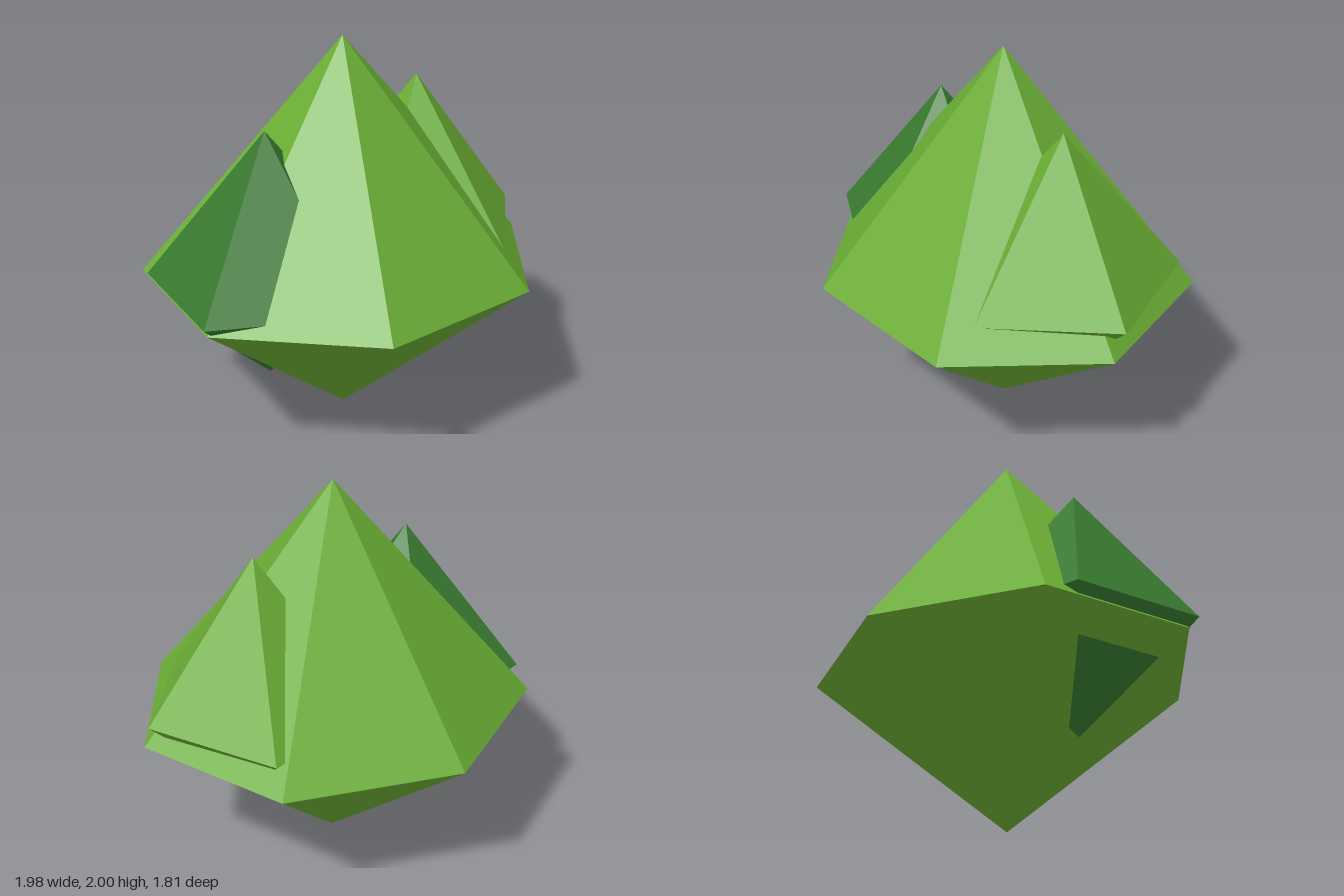
import * as THREE from 'three';

// Faceted double cone: a ring with one corner on +x, a point above and a point below
function makeLump(name, material, { sides, radius, depth, up, down, at }) {
  const profile = [
    new THREE.Vector2(0, -down),
    new THREE.Vector2(radius, 0),
    new THREE.Vector2(0, up),
  ];
  const lathe = new THREE.LatheGeometry(profile, sides, Math.PI / 2);
  lathe.scale(1, 1, depth);
  const geometry = lathe.toNonIndexed(); // separate faces give hard facets
  geometry.computeVertexNormals();
  const mesh = new THREE.Mesh(geometry, material);
  mesh.name = name;
  mesh.position.set(...at);
  return mesh;
}

export function createModel() {
  const leafGreen = new THREE.MeshStandardMaterial({ color: 0x6aad35 });
  leafGreen.name = 'leaf green';
  const deepGreen = new THREE.MeshStandardMaterial({ color: 0x387a30 });
  deepGreen.name = 'deep green';

  const bush = new THREE.Group();
  bush.name = 'bush';
  bush.add(
    // Large central body
    makeLump('mainFoliage', leafGreen, {
      sides: 7, radius: 1.025, depth: 0.905, up: 1.195, down: 0.805, at: [-0.035, 0.805, 0],
    }),
    // Small lump on the left (+x)
    makeLump('leftFoliage', leafGreen, {
      sides: 5, radius: 0.57, depth: 1.07, up: 0.775, down: 0.52, at: [0.415, 0.945, -0.06],
    }),
    // Darker lump on the right (-x)
    makeLump('rightFoliage', deepGreen, {
      sides: 5, radius: 0.605, depth: 0.97, up: 0.77, down: 0.51, at: [-0.5, 0.86, 0.095],
    }),
  );
  return bush;
}
